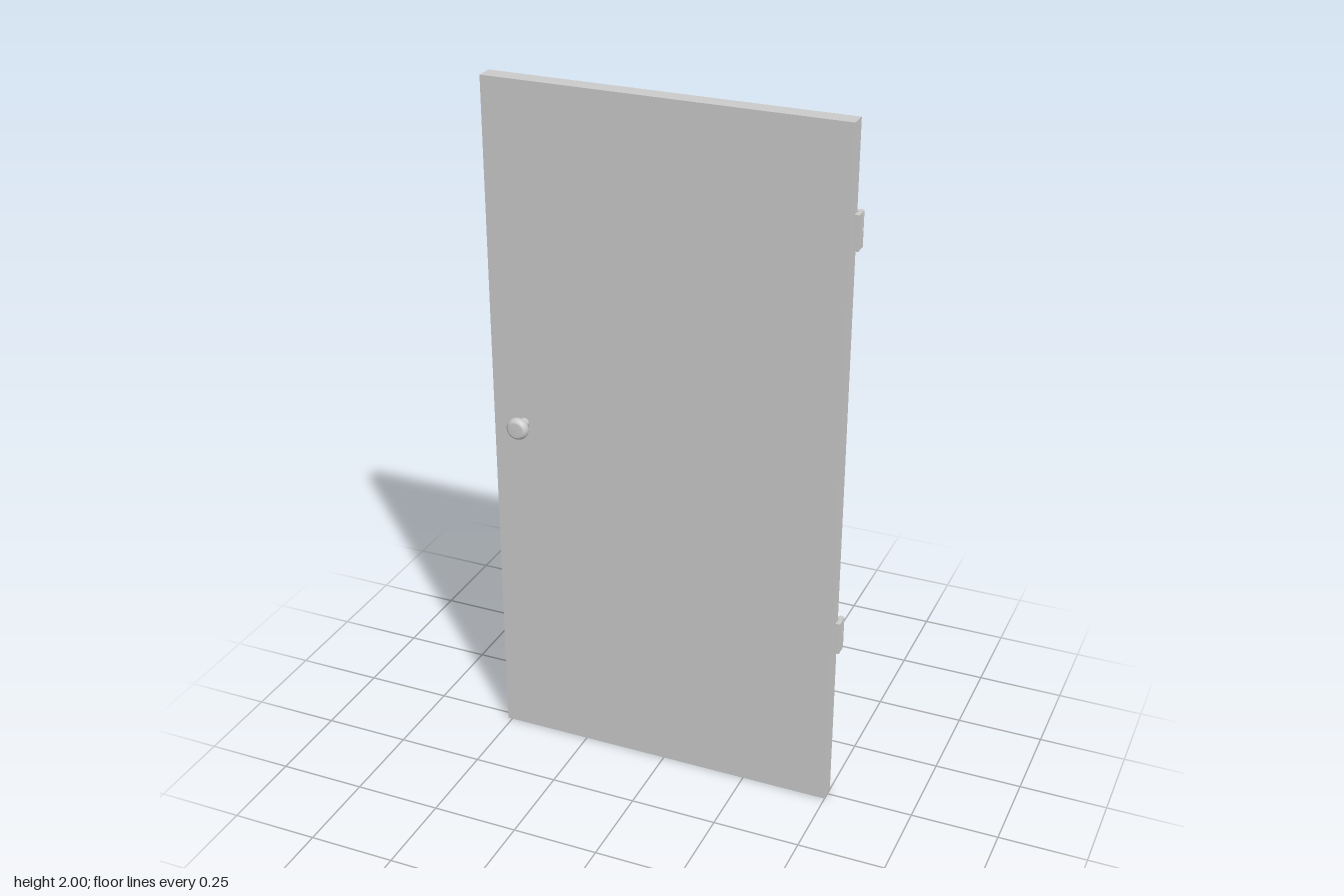
import * as THREE from 'three';

const material = new THREE.MeshStandardMaterial({ color: 0xcccccc });

function addMesh(parent, name, geometry, x = 0, y = 0, z = 0) {
  const mesh = new THREE.Mesh(geometry, material);
  mesh.name = name;
  mesh.position.set(x, y, z);
  parent.add(mesh);
  return mesh;
}

// Box given by its limits in x, y and z
function addBox(parent, name, [x0, x1], [y0, y1], [z0, z1]) {
  return addMesh(parent, name, new THREE.BoxGeometry(x1 - x0, y1 - y0, z1 - z0),
    (x0 + x1) / 2, (y0 + y1) / 2, (z0 + z1) / 2);
}

// Round knob with a stem, turned along +y and then laid along z
function makeKnob(name, side) {
  const knob = new THREE.Group();
  knob.name = name;
  const stem = new THREE.CylinderGeometry(0.015, 0.015, 0.036, 32);
  addMesh(knob, 'knobStem', stem, 0, 0.038, 0);
  const profile = new THREE.Path();
  profile.moveTo(0, 0.053);
  profile.lineTo(0.021, 0.053);
  profile.bezierCurveTo(0.036, 0.054, 0.036, 0.076, 0.021, 0.081);
  profile.lineTo(0, 0.081);
  addMesh(knob, 'knobHead', new THREE.LatheGeometry(profile.getPoints(12), 40));
  knob.rotation.x = side * Math.PI / 2;
  knob.position.set(-0.421, 1.02, 0);
  return knob;
}

// Lift-off hinge: leaf on the door edge, lower knuckle joined to it, upper knuckle free
function makeHinge(name, y) {
  const hinge = new THREE.Group();
  hinge.name = name;
  const half = 0.048, radius = 0.0095, barrelZ = -0.041;
  addBox(hinge, 'hingeLeaf', [0.498, 0.512], [-half, half], [-0.031, -0.005]);
  addBox(hinge, 'leafRoll', [0.503, 0.512], [-half, 0], [barrelZ, -0.031]);
  const knuckle = new THREE.CylinderGeometry(radius, radius, half, 24);
  addMesh(hinge, 'lowerKnuckle', knuckle, 0.5025, -half / 2, barrelZ);
  addMesh(hinge, 'upperKnuckle', knuckle, 0.5025, half / 2, barrelZ);
  hinge.position.y = y;
  return hinge;
}

export function createModel() {
  const door = new THREE.Group();
  door.name = 'door';
  addBox(door, 'doorPanel', [-0.513, 0.499], [0, 2], [-0.025, 0.025]);
  door.add(makeKnob('frontKnob', 1), makeKnob('backKnob', -1));
  door.add(makeHinge('upperHinge', 1.709), makeHinge('lowerHinge', 0.524));
  return door;
}
